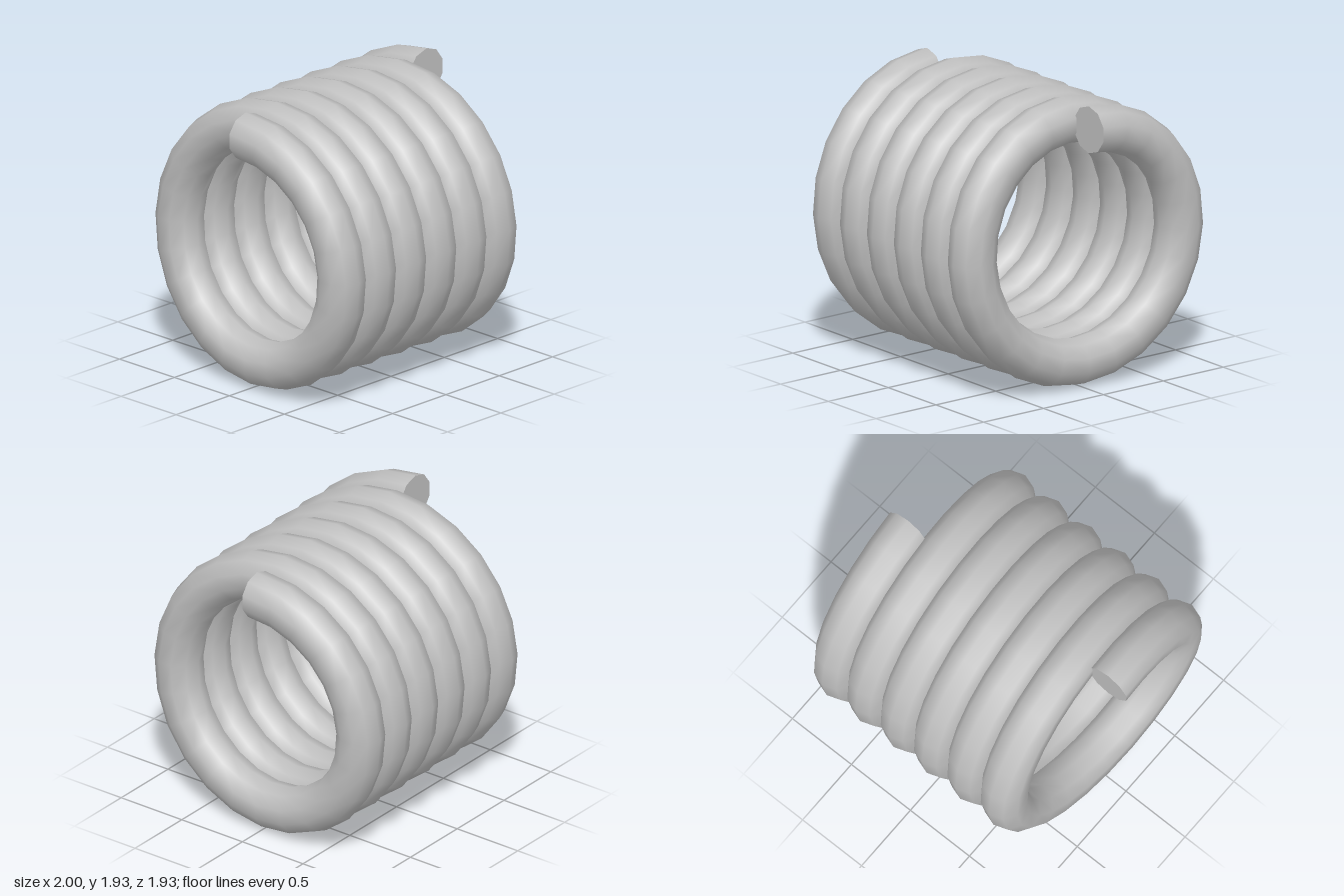
import * as THREE from 'three';

const TURNS = 6;
const STEPS = 24; // rings per turn
const SIDES = 10; // sides of the wire
const COIL_RADIUS = 0.805;
const WIRE_RADIUS = 0.16;
const PITCH = 0.2825;
const AXIS_HEIGHT = 0.97;

// Winds a capped cylinder around the x axis into a helix:
// its length becomes the winding angle, its z the distance from the axis.
function windCoil() {
  const geometry = new THREE.CylinderGeometry(WIRE_RADIUS, WIRE_RADIUS, 1, SIDES, TURNS * STEPS);
  const position = geometry.attributes.position;
  const normal = geometry.attributes.normal;
  for (let i = 0; i < position.count; i++) {
    const turn = (0.5 - position.getY(i)) * TURNS;
    const angle = turn * Math.PI * 2;
    const c = Math.cos(angle);
    const s = Math.sin(angle);
    const radius = COIL_RADIUS + position.getZ(i);
    const x = position.getX(i) + (turn - TURNS / 2) * PITCH;
    position.setXYZ(i, x, AXIS_HEIGHT + radius * c, radius * s);
    const along = normal.getY(i);
    const out = normal.getZ(i);
    normal.setXYZ(i, normal.getX(i), out * c + along * s, out * s - along * c);
  }
  return geometry;
}

export function createModel() {
  const steel = new THREE.MeshStandardMaterial({ color: 0xbfbfbf });
  steel.name = 'steelGrey';

  const model = new THREE.Group();
  model.name = 'coilSpring';

  // Single wire with flat ends, wound in six turns
  const coil = new THREE.Mesh(windCoil(), steel);
  coil.name = 'coil';
  model.add(coil);
  return model;
}
